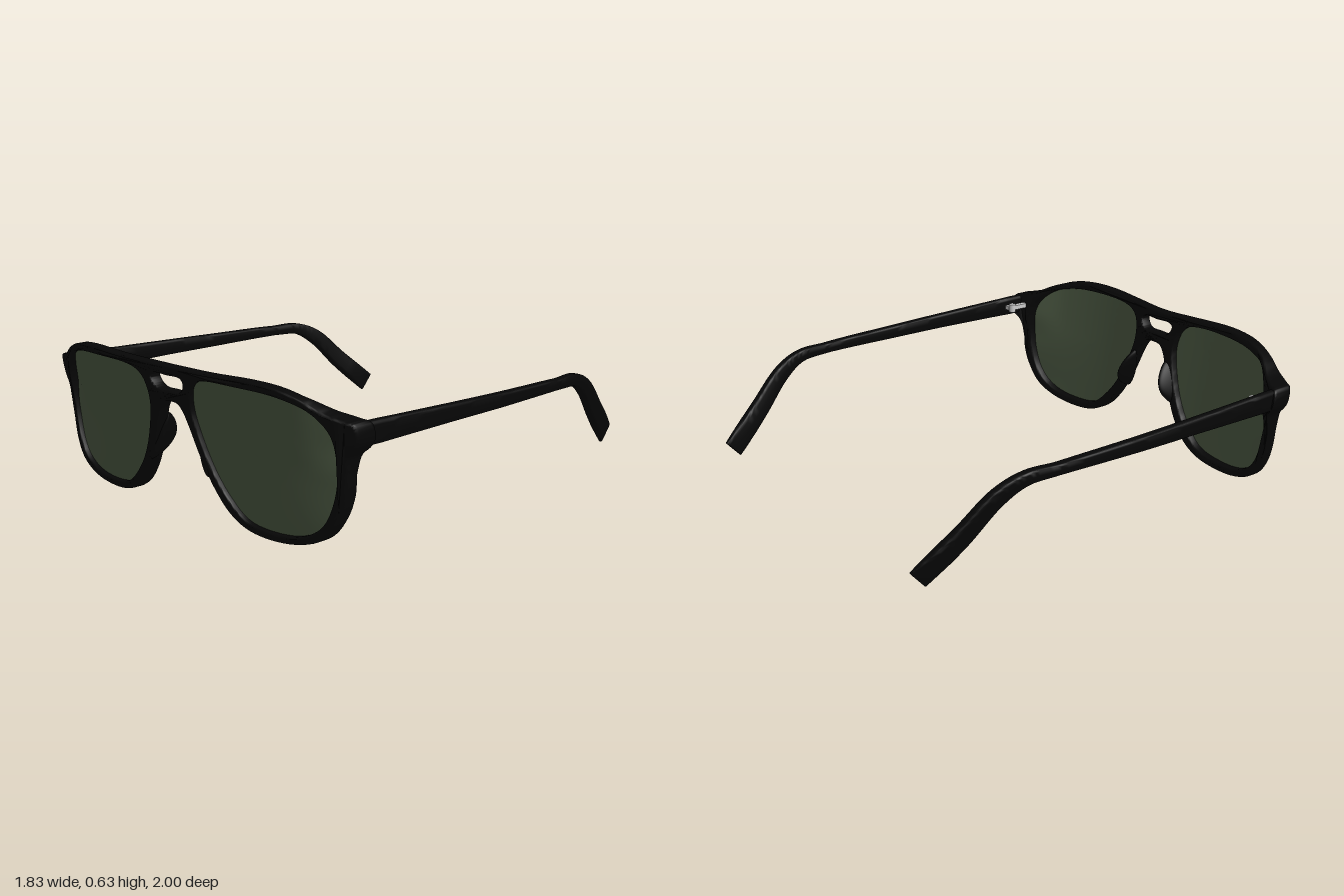
import * as THREE from 'three';
import { toCreasedNormals } from 'three/addons/utils/BufferGeometryUtils.js';

const black = new THREE.MeshStandardMaterial({ color: 0x060606 });
const green = new THREE.MeshStandardMaterial({ color: 0x4b5842, side: THREE.DoubleSide });
const metal = new THREE.MeshStandardMaterial({ color: 0xcccccc });

// Half outline of the frame front, from top centre round to the nose arch
const OUTLINE = [[0, 0.622], [0.2, 0.628], [0.48, 0.638], [0.62, 0.625], [0.72, 0.593], [0.8, 0.553],
  [0.87, 0.533], [0.904, 0.524], [0.914, 0.505], [0.914, 0.455], [0.895, 0.422], [0.87, 0.395], [0.863, 0.34],
  [0.855, 0.24], [0.825, 0.15], [0.765, 0.07], [0.66, 0.022], [0.5, 0.005], [0.37, 0.022], [0.28, 0.07],
  [0.22, 0.135], [0.175, 0.205], [0.13, 0.3], [0.1, 0.38], [0.072, 0.44], [0.045, 0.468], [0, 0.474]];
const LENS = [[0.135, 0.51], [0.155, 0.56], [0.21, 0.593], [0.45, 0.605], [0.62, 0.592], [0.74, 0.553],
  [0.81, 0.48], [0.825, 0.37], [0.805, 0.22], [0.755, 0.115], [0.66, 0.056], [0.5, 0.038], [0.37, 0.06],
  [0.275, 0.14], [0.205, 0.24], [0.155, 0.36], [0.132, 0.45]];
const SLOT = [[0, 0.582], [0.085, 0.582], [0.102, 0.568], [0.092, 0.54], [0.065, 0.521], [0, 0.519]];

const { lerp, smoothstep } = THREE.MathUtils;
const mirrorPoints = (pts) => pts.map(([x, y]) => [-x, y]).reverse();
const closeHalf = (pts) => [...pts, ...mirrorPoints(pts).slice(1, -1)];
const smooth = (pts, n) => new THREE.CatmullRomCurve3(
  pts.map(([x, y]) => new THREE.Vector3(x, y, 0)), true).getPoints(n).slice(0, n);

// Face-form curve and backward tilt shared by frame and lenses; the end pieces are thicker
function bend(geo) {
  const p = geo.attributes.position;
  for (let i = 0; i < p.count; i++) {
    const x = Math.abs(p.getX(i)), y = p.getY(i);
    const curve = 0.22 + 0.13 * smoothstep(y, 0, 0.35);
    const front = 1 - 0.02 * Math.exp(-((x / 0.2) ** 2)) - curve * Math.max(0, x - 0.3) ** 2 - 0.17 * (0.63 - y);
    const thick = 0.95 + 0.75 * smoothstep(x, 0.68, 0.85) * smoothstep(y, 0.3, 0.44);
    p.setZ(i, front + p.getZ(i) * thick);
  }
  geo.computeVertexNormals();
  return geo;
}

// Mirrors a geometry in x and keeps its faces outward
function mirrored(source) {
  const geo = source.index ? source.toNonIndexed() : source.clone();
  geo.scale(-1, 1, 1);
  for (const name of ['position', 'normal']) {
    const a = geo.attributes[name], v = new THREE.Vector3(), w = new THREE.Vector3();
    for (let i = 0; i < a.count; i += 3) {
      v.fromBufferAttribute(a, i + 1);
      w.fromBufferAttribute(a, i + 2);
      a.setXYZ(i + 1, w.x, w.y, w.z);
      a.setXYZ(i + 2, v.x, v.y, v.z);
    }
  }
  return geo;
}

// Frame front: holes run opposite to the outline so that their walls face inward
function frameGeometry() {
  const shape = new THREE.Shape(smooth(closeHalf(OUTLINE), 260));
  for (const hole of [LENS, mirrorPoints(LENS), closeHalf(SLOT)]) {
    shape.holes.push(new THREE.Path(smooth(hole, 100).reverse()));
  }
  const geo = new THREE.ExtrudeGeometry(shape, { depth: 0.04, steps: 1, bevelEnabled: true,
    bevelThickness: 0.01, bevelSize: 0.008, bevelOffset: -0.008, bevelSegments: 3 });
  geo.translate(0, 0, -0.05);
  return toCreasedNormals(bend(geo), 0.7);
}

function buildIndexed(pos, index) {
  const geo = new THREE.BufferGeometry();
  geo.setAttribute('position', new THREE.Float32BufferAttribute(pos, 3));
  geo.setIndex(index);
  return geo;
}

// Lens sheet: concentric rings out to just inside the rim
function lensGeometry() {
  const rim = smooth(LENS, 80), n = rim.length, rings = 8, cx = 0.48, cy = 0.33;
  const pos = [], index = [];
  for (let r = 0; r <= rings; r++) {
    const k = 1.015 * r / rings;
    for (const p of rim) pos.push(cx + (p.x - cx) * k, cy + (p.y - cy) * k, -0.025);
  }
  for (let r = 0; r < rings; r++) for (let i = 0; i < n; i++) {
    const j = (i + 1) % n, a = r * n + i, b = r * n + j, c = a + n, d = b + n;
    if (r > 0) index.push(a, b, c);
    index.push(b, d, c);
  }
  return bend(buildIndexed(pos, index));
}

// Temple arm: rounded-rectangle sections lofted along a path, thinned at the tip
function templeGeometry() {
  const path = new THREE.CatmullRomCurve3([[0.886, 0.477, 0.79], [0.888, 0.476, 0.7], [0.893, 0.474, 0.3],
    [0.892, 0.471, 0], [0.88, 0.468, -0.4], [0.864, 0.46, -0.55], [0.842, 0.405, -0.66], [0.808, 0.272, -0.8],
    [0.762, 0.128, -0.965]].map((p) => new THREE.Vector3(...p)));
  const heights = [0.09, 0.09, 0.07, 0.06, 0.046, 0.055, 0.074, 0.088, 0.1];
  const widths = [0.034, 0.036, 0.04, 0.042, 0.042, 0.042, 0.042, 0.042, 0.042];
  const at = (list, t) => {
    const f = t * (list.length - 1), i = Math.min(Math.floor(f), list.length - 2);
    return lerp(list[i], list[i + 1], f - i);
  };
  const rows = 80, n = 20, pos = [], index = [];
  const round = (v) => Math.sign(v) * Math.abs(v) ** 0.4;
  for (let r = 0; r <= rows; r++) {
    const t = r / rows, c = path.getPoint(t), d = path.getTangent(t);
    const up = new THREE.Vector3(0, -d.z, d.y).normalize();
    const out = new THREE.Vector3().crossVectors(up, d).normalize();
    const width = at(widths, t) * Math.sqrt(Math.min(1, (1 - t) * 12 + 0.12));
    for (let i = 0; i < n; i++) {
      const a = i / n * Math.PI * 2;
      const v = c.clone().addScaledVector(out, round(Math.cos(a)) * width / 2)
        .addScaledVector(up, round(Math.sin(a)) * at(heights, t) / 2);
      pos.push(v.x, v.y, v.z);
    }
  }
  for (let r = 0; r < rows; r++) for (let i = 0; i < n; i++) {
    const j = (i + 1) % n, a = r * n + i, b = r * n + j;
    index.push(a, b, a + n, b, b + n, a + n);
  }
  const last = rows * n;
  for (let i = 1; i < n - 1; i++) index.push(0, i + 1, i, last, last + i, last + i + 1);
  return toCreasedNormals(buildIndexed(pos, index), 0.8);
}

// Nose pad: a slanted oval ridge that narrows toward the back
function nosePadGeometry() {
  const geo = new THREE.SphereGeometry(1, 32, 24).rotateX(Math.PI / 2);
  const p = geo.attributes.position;
  for (let i = 0; i < p.count; i++) {
    const z = p.getZ(i), taper = 1 + 0.3 * Math.min(0, z);
    p.setXYZ(i, p.getX(i) * 0.028 * taper, p.getY(i) * 0.112 * taper, z * (z < 0 ? 0.085 : 0.02));
  }
  geo.rotateX(-0.15);
  geo.rotateZ(0.36);
  geo.computeVertexNormals();
  return geo.translate(0.144, 0.3, 0.9);
}

export function createModel() {
  const model = new THREE.Group();
  const add = (name, geo, material) => {
    const mesh = new THREE.Mesh(geo, material);
    mesh.name = name;
    model.add(mesh);
  };
  const pair = (name, geo, material) => {
    add('left' + name, geo, material);
    add('right' + name, mirrored(geo), material);
  };

  add('frameFront', frameGeometry(), black);
  pair('Lens', lensGeometry(), green);
  pair('NosePad', nosePadGeometry(), black);
  pair('Temple', templeGeometry(), black);

  // Hinges: leaf on the frame, upright barrel, leaf on the temple
  pair('HingeFrameLeaf', new THREE.BoxGeometry(0.026, 0.022, 0.1).translate(0.847, 0.475, 0.74), metal);
  pair('HingeBarrel', new THREE.CylinderGeometry(0.017, 0.017, 0.04, 20).translate(0.843, 0.475, 0.69), metal);
  pair('HingeTempleLeaf', new THREE.BoxGeometry(0.035, 0.02, 0.026).translate(0.862, 0.475, 0.68), metal);
  return model;
}
